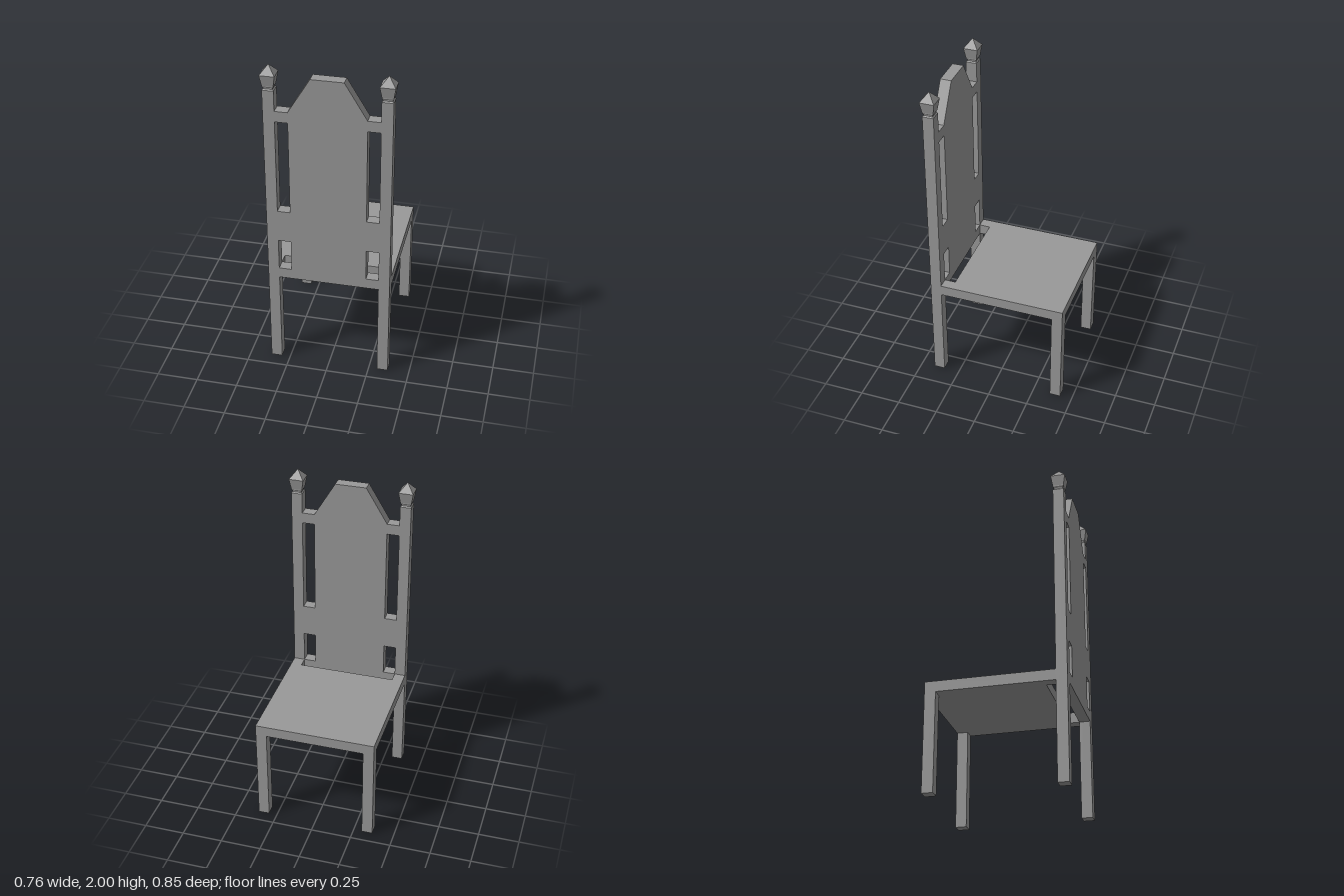
import * as THREE from 'three';

const material = new THREE.MeshStandardMaterial({ color: 0x999999, flatShading: true });

const POST_X = 0.335, POST_Z = 0.381, POST = 0.067; // post centre and thickness
const FRONT_Z = -0.425, SEAT_BOTTOM = 0.605, SEAT_TOP = 0.671, POST_TOP = 1.853;
const PANEL_X = 0.226, INNER_X = POST_X - POST / 2;

export function createModel() {
  const group = new THREE.Group();

  const add = (name, geometry, x = 0, y = 0, z = 0) => {
    const mesh = new THREE.Mesh(geometry, material);
    mesh.name = name;
    mesh.position.set(x, y, z);
    group.add(mesh);
  };
  // Box given by its lower and upper bounds
  const box = (name, x0, x1, y0, y1, z0, z1) =>
    add(name, new THREE.BoxGeometry(x1 - x0, y1 - y0, z1 - z0),
      (x0 + x1) / 2, (y0 + y1) / 2, (z0 + z1) / 2);
  const shapeOf = (points) => new THREE.Shape(points.map(([x, y]) => new THREE.Vector2(x, y)));

  const back0 = POST_Z - POST / 2, back1 = POST_Z + POST / 2;

  // Seat with two rear tongues that reach the posts, leaving a slot before the back panel
  const outer = POST_X + POST / 2, slot = 0.28;
  const seat = new THREE.ExtrudeGeometry(shapeOf([
    [-outer, -FRONT_Z], [-outer, -back0], [-INNER_X, -back0], [-INNER_X, -slot],
    [INNER_X, -slot], [INNER_X, -back0], [outer, -back0], [outer, -FRONT_Z],
  ]), { depth: SEAT_TOP - SEAT_BOTTOM, bevelEnabled: false });
  seat.rotateX(-Math.PI / 2);
  add('seat', seat, 0, SEAT_BOTTOM, 0);

  // Back panel with a tapered crest
  const panel = new THREE.ExtrudeGeometry(shapeOf([
    [-PANEL_X, SEAT_BOTTOM], [PANEL_X, SEAT_BOTTOM], [PANEL_X, 1.729],
    [0.095, 1.947], [-0.095, 1.947], [-PANEL_X, 1.729],
  ]), { depth: POST, bevelEnabled: false });
  add('backPanel', panel, 0, 0, back0);

  // Square finial: narrow neck, collar, widening body and pyramid tip (half width, height)
  const finialProfile = [
    [0.0335, POST_TOP], [0.027, 1.86], [0.027, 1.867], [0.033, 1.876],
    [0.033, 1.881], [0.044, 1.945], [0, 2],
  ].map(([half, y]) => new THREE.Vector2(half * Math.SQRT2, y));

  for (const [side, s] of [['left', 1], ['right', -1]]) {
    const span = (name, a, b, ...rest) => box(name, Math.min(s * a, s * b), Math.max(s * a, s * b), ...rest);

    span(side + 'BackPost', INNER_X, outer, 0, POST_TOP, back0, back1);
    span(side + 'FrontLeg', INNER_X, outer, 0, SEAT_BOTTOM, FRONT_Z, FRONT_Z + POST);

    // Short rails joining the panel to the post
    [[SEAT_BOTTOM, SEAT_TOP], [0.869, 1.073], [1.663, 1.729]].forEach(([y0, y1], i) =>
      span(side + 'BackRail' + (i + 1), PANEL_X, INNER_X, y0, y1, back0, back1));

    const finial = new THREE.LatheGeometry(finialProfile, 4, Math.PI / 4);
    add(side + 'Finial', finial, s * POST_X, 0, POST_Z);
  }

  return group;
}
